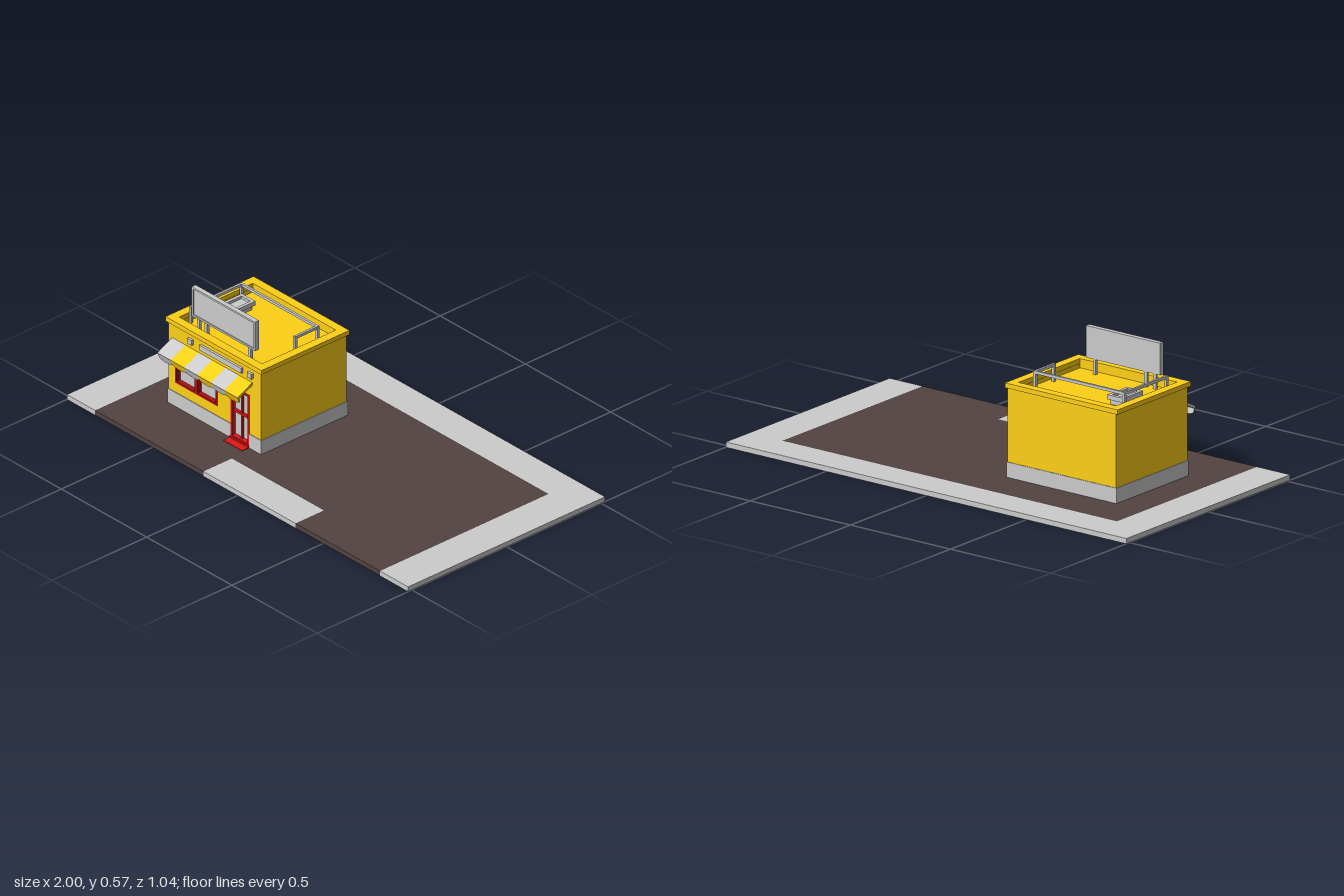
import * as THREE from 'three';

const mat = (color) => new THREE.MeshStandardMaterial({ color, flatShading: true });
const grey = mat(0xcccccc), yellow = mat(0xffd017), red = mat(0xe01818), darkRed = mat(0xb01010), asphalt = mat(0x514341);

export function createModel() {
  const model = new THREE.Group();
  const group = (name) => {
    const g = new THREE.Group();
    g.name = name;
    model.add(g);
    return g;
  };
  const add = (parent, name, geometry, material) => {
    const m = new THREE.Mesh(geometry, material);
    m.name = name;
    parent.add(m);
    return m;
  };
  // Box given by its limits on each axis
  const box = (parent, name, material, x0, x1, y0, y1, z0, z1) => {
    const m = add(parent, name, new THREE.BoxGeometry(x1 - x0, y1 - y0, z1 - z0), material);
    m.position.set((x0 + x1) / 2, (y0 + y1) / 2, (z0 + z1) / 2);
    return m;
  };
  const polygon = (pts) => new THREE.Shape(pts.map(([a, b]) => new THREE.Vector2(a, b)));
  const rect = (a0, a1, b0, b1) => polygon([[a0, b0], [a1, b0], [a1, b1], [a0, b1]]);
  const extrude = (shape, depth) => new THREE.ExtrudeGeometry(shape, { depth, bevelEnabled: false, curveSegments: 10 });
  // Flat plan outline (x, -z) raised from y0 to y1
  const plan = (parent, name, material, shape, y0, y1) => {
    const m = add(parent, name, extrude(shape, y1 - y0).rotateX(-Math.PI / 2), material);
    m.position.y = y0;
    return m;
  };
  const ring = (x0, x1, z0, z1, t) => {
    const s = rect(x0, x1, -z1, -z0);
    s.holes.push(rect(x0 + t, x1 - t, -z1 + t, -z0 - t));
    return s;
  };

  // Lot: pavement on three sides, asphalt, and a kerb island at the front
  const lot = group('lot');
  const H = 0.022, Z = 0.52;
  plan(lot, 'pavement', grey, polygon([[-1, -Z], [-0.835, -Z], [-0.835, 0.37], [0.835, 0.37],
    [0.835, -Z], [1, -Z], [1, Z], [-1, Z]]), 0, H);
  plan(lot, 'asphalt', asphalt, polygon([[-0.835, -Z], [-0.2, -Z], [-0.2, -0.37], [0.34, -0.37],
    [0.34, -Z], [0.835, -Z], [0.835, 0.37], [-0.835, 0.37]]), 0.001, H);
  box(lot, 'island', grey, -0.2, 0.34, 0, H, 0.37, Z);

  // Shop walls
  const shop = group('shop');
  const X0 = -0.69, X1 = -0.148, D0 = -0.325, D1 = -0.215;
  plan(shop, 'plinth', grey, polygon([[X0 - 0.003, -0.265], [D0, -0.265], [D0, -0.23], [D1, -0.23],
    [D1, -0.265], [X1 + 0.003, -0.265], [X1 + 0.003, 0.193], [X0 - 0.003, 0.193]]), H, 0.085);
  const front = polygon([[X0, 0.085], [D0, 0.085], [D0, 0.26], [D1, 0.26], [D1, 0.085], [X1, 0.085],
    [X1, 0.39], [X0, 0.39]]);
  const windows = [[-0.65, -0.527], [-0.527, -0.403]];
  front.holes.push(rect(-0.65, -0.403, 0.13, 0.258));
  add(shop, 'frontWall', extrude(front, 0.03), yellow).position.z = 0.232;
  box(shop, 'backWall', yellow, X0, X1, 0.085, 0.39, -0.19, -0.16);
  box(shop, 'rightWall', yellow, X0, X0 + 0.03, 0.085, 0.39, -0.16, 0.232);
  box(shop, 'leftWall', yellow, X1 - 0.03, X1, 0.085, 0.39, -0.16, 0.232);
  box(shop, 'roof', yellow, X0 + 0.03, X1 - 0.03, 0.36, 0.372, -0.16, 0.232);
  plan(shop, 'cornice', yellow, ring(-0.7, -0.138, -0.195, 0.27, 0.038), 0.39, 0.41);

  // Framed opening with glass and cross bars
  const framed = (parent, material, x0, x1, y0, y1, barY) => {
    const t = 0.009, mid = (x0 + x1) / 2;
    const s = rect(x0, x1, y0, y1);
    s.holes.push(rect(x0 + t, x1 - t, y0 + t, y1 - t));
    add(parent, 'frame', extrude(s, 0.025), material).position.z = 0.24;
    box(parent, 'glass', grey, x0, x1, y0, y1, 0.238, 0.245);
    box(parent, 'crossBar', red, x0 + t, x1 - t, barY - 0.005, barY + 0.005, 0.244, 0.256);
    return mid;
  };
  const shopWindow = group('shopWindow');
  for (const [a, b] of windows) framed(shopWindow, darkRed, a, b, 0.13, 0.258, 0.2);
  const door = group('door');
  const mid = framed(door, red, D0, D1, 0.028, 0.26, 0.148);
  box(door, 'mullion', red, mid - 0.004, mid + 0.004, 0.037, 0.251, 0.244, 0.255);
  box(door, 'sill', red, D0, D1, H, 0.032, 0.235, 0.27);
  box(door, 'step', red, D0, D1, 0, 0.025, 0.235, 0.302);

  // Striped awning with a scalloped valance
  const awning = group('awning');
  const N = 6, A0 = -0.67, W = 0.47 / N;
  const slope = polygon([[0.262, 0.312], [0.335, 0.276], [0.34, 0.286], [0.262, 0.325]]);
  const flap = new THREE.Shape();
  flap.moveTo(0, 0);
  flap.lineTo(0, -0.02);
  flap.absellipse(W / 2, -0.02, W / 2, 0.014, Math.PI, Math.PI * 2, false);
  flap.lineTo(W, 0);
  for (let i = 0; i < N; i++) {
    const material = i % 2 ? yellow : grey, x = A0 + i * W;
    add(awning, 'stripe', extrude(slope, W).rotateY(-Math.PI / 2), material).position.x = x + W;
    const valance = add(awning, 'valance', extrude(flap, 0.005), material);
    valance.position.set(x, 0.284, 0.333);
    valance.rotation.x = 0.35;
  }

  // Blank name plate and two wall lamps above the awning
  box(shop, 'namePlate', grey, -0.5, -0.255, 0.346, 0.369, 0.26, 0.272);
  for (const x of [-0.558, -0.207]) box(shop, 'wallLamp', grey, x - 0.013, x + 0.013, 0.346, 0.369, 0.26, 0.273);

  // Rooftop billboard
  const sign = group('billboard');
  box(sign, 'panel', grey, -0.605, -0.235, 0.435, 0.567, 0.196, 0.212);
  const border = rect(-0.605, -0.235, 0.435, 0.567);
  border.holes.push(rect(-0.597, -0.243, 0.443, 0.559));
  add(sign, 'border', extrude(border, 0.005), grey).position.z = 0.212;
  for (const x of [-0.575, -0.53, -0.275]) box(sign, 'leg', grey, x - 0.007, x + 0.007, 0.37, 0.437, 0.198, 0.21);

  // Roof pipe rail running round three sides
  const rail = group('roofRail');
  const path = [[-0.647, 0.183], [-0.647, -0.085], [-0.203, -0.085], [-0.203, 0.033]];
  path.forEach(([x, z], i) => {
    box(rail, 'post', grey, x - 0.006, x + 0.006, 0.37, 0.444, z - 0.006, z + 0.006);
    if (!i) return;
    const [px, pz] = path[i - 1], r = 0.005;
    box(rail, 'bar', grey, Math.min(x, px) - r, Math.max(x, px) + r, 0.434, 0.446, Math.min(z, pz) - r, Math.max(z, pz) + r);
  });

  // Roof vent: open-topped box on a short base
  const vent = group('roofVent');
  box(vent, 'ventBase', grey, -0.62, -0.56, 0.37, 0.4, -0.06, 0.045);
  plan(vent, 'ventRim', grey, ring(-0.63, -0.55, -0.07, 0.055, 0.014), 0.393, 0.412);

  return model;
}
